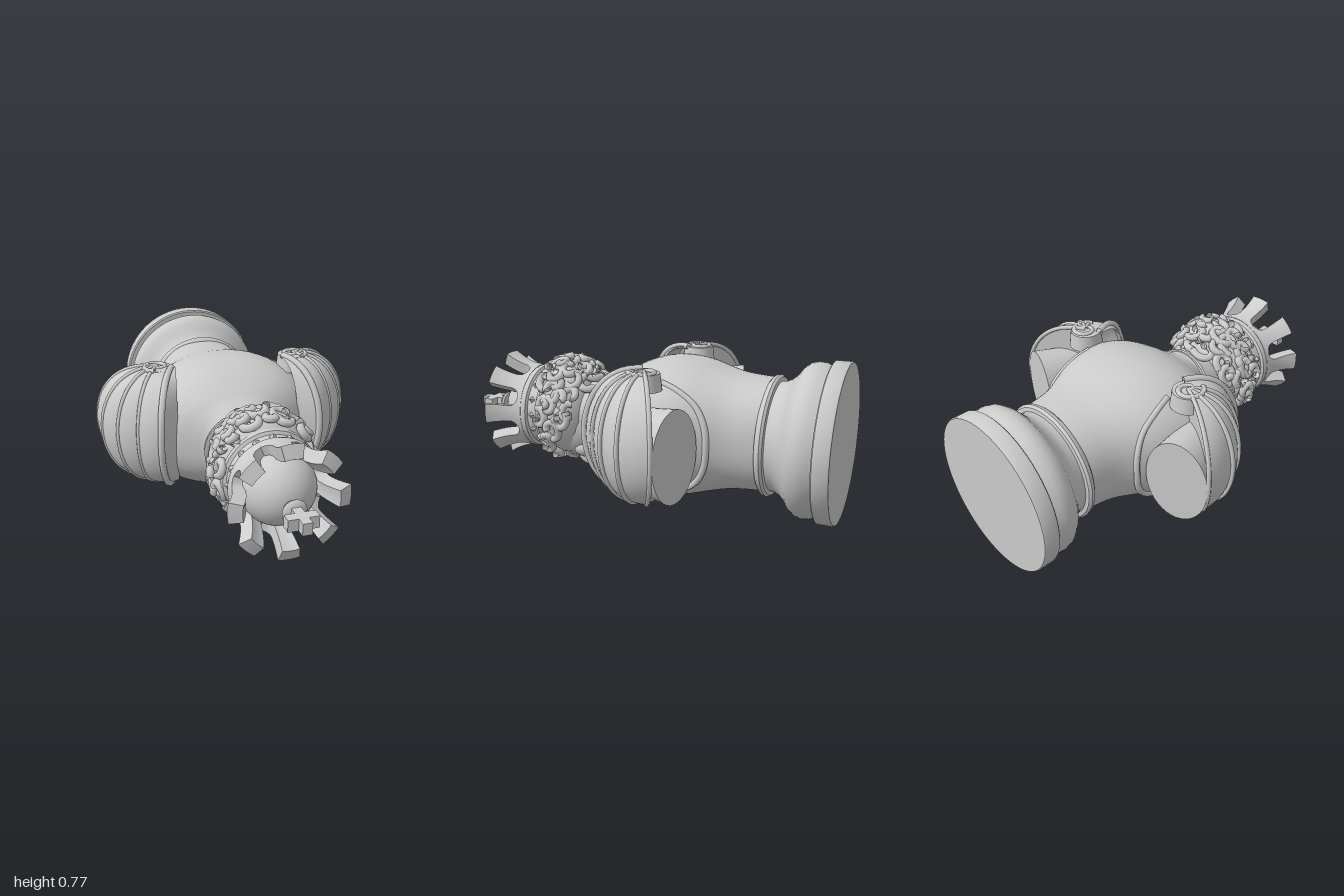
import * as THREE from 'three';
import { toCreasedNormals, mergeGeometries } from 'three/addons/utils/BufferGeometryUtils.js';

const grey = new THREE.MeshStandardMaterial({ color: 0xcccccc, side: THREE.DoubleSide });
const V = (x, y, z) => new THREE.Vector3(x, y, z);

function add(parent, name, geo, x = 0, y = 0, z = 0) {
  const mesh = new THREE.Mesh(geo, grey);
  mesh.name = name;
  mesh.position.set(x, y, z);
  parent.add(mesh);
  return mesh;
}

function ball(parent, name, x, y, z, rx, ry, rz) {
  const mesh = add(parent, name, new THREE.SphereGeometry(1, 28, 20), x, y, z);
  mesh.scale.set(rx, ry, rz);
  return mesh;
}

const tubeGeo = (points, r, segments = 24, closed = false) =>
  new THREE.TubeGeometry(new THREE.CatmullRomCurve3(points, closed), segments, r, 7, closed);

// Turned part from [height, radius] pairs
const turned = (pairs) => toCreasedNormals(
  new THREE.LatheGeometry(pairs.map(([y, r]) => new THREE.Vector2(r, y)), 64), 0.7);

// Body from [height, half width, half depth] rows, slightly squarer than an oval
const torsoRows = [[-0.65, 0.26, 0.27], [-0.5, 0.293, 0.28], [-0.4, 0.342, 0.3], [-0.3, 0.395, 0.325],
  [-0.2, 0.425, 0.337], [-0.1, 0.435, 0.33], [0, 0.41, 0.3], [0.08, 0.34, 0.255],
  [0.13, 0.26, 0.22], [0.17, 0.2, 0.2], [0.2, 0.18, 0.18]];
const torsoCurve = new THREE.CatmullRomCurve3(torsoRows.map(([y, a, b]) => V(a, y, b)));
const SQUARE = 2.3;

function torsoGeometry() {
  const rows = torsoCurve.getPoints(40);
  const geo = new THREE.LatheGeometry(rows.map((p) => new THREE.Vector2(p.x, p.y)), 64);
  const pos = geo.attributes.position;
  const bulge = (v) => Math.sign(v) * Math.abs(v) ** (2 / SQUARE);
  for (let i = 0; i < pos.count; i++) {
    const row = rows[i % rows.length];
    pos.setX(i, row.x * bulge(pos.getX(i) / row.x));
    pos.setZ(i, row.z * bulge(pos.getZ(i) / row.x));
  }
  return toCreasedNormals(geo, 0.8);
}

// Point on the side of the torso at height y and depth z
function torsoSide(y, z) {
  const i = torsoRows.findIndex((r) => r[0] >= y);
  const [p, q] = [torsoRows[i - 1], torsoRows[i]];
  const t = (y - p[0]) / (q[0] - p[0]);
  const a = p[1] + (q[1] - p[1]) * t, b = p[2] + (q[2] - p[2]) * t;
  return V(a * Math.max(0.05, 1 - Math.abs(z / b) ** SQUARE) ** (1 / SQUARE), y, z);
}

// Shoulder guard: overlapping plates fanned round a front-to-back axis
function buildShoulder() {
  const g = new THREE.Group();
  const px = 0.36, py = -0.14, pz = -0.035, half = 0.305, N = 24;
  const edges = [[0.41, 0.145], [0.505, 0.055], [0.59, -0.03], [0.65, -0.14], [0.65, -0.3]]
    .map(([x, y]) => [Math.atan2(y - py, x - px), Math.hypot(x - px, y - py)]);
  // Arc from pole to pole; lean moves its ends towards the chest
  const line = (ang, r, lean = 0) => Array.from({ length: N + 1 }, (_, i) => {
    const f = (i / N - 0.5) * Math.PI;
    const c = Math.max(0, Math.cos(f)) ** 0.82;
    return V(px + r * c * Math.cos(ang) - lean * (1 - c), py + r * c * Math.sin(ang) + lean * 0.5 * (1 - c),
      pz + half * Math.sin(f));
  });
  const chestLine = line(1.78, 0.23, 0.085);
  const rim = line(edges[0][0], edges[0][1], 0.065);
  const columns = [chestLine, rim];
  for (let k = 0; k < edges.length - 1; k++) {
    const [a0, r0] = edges[k], [a1, r1] = edges[k + 1];
    for (let s = 0; s <= 5; s++) {
      const t = s / 5;
      columns.push(line(a0 + (a1 - a0) * t, (r0 + (r1 - r0) * t) * (0.97 + 0.05 * t)));
    }
  }
  columns.push(line(edges[edges.length - 1][0], 0));
  const verts = [], index = [];
  columns.forEach((c, j) => c.forEach((p, i) => {
    verts.push(p.x, p.y, p.z);
    if (j && i) {
      const a = (j - 1) * (N + 1) + i - 1, b = a + N + 1;
      index.push(a, a + 1, b, b, a + 1, b + 1);
    }
  }));
  const geo = new THREE.BufferGeometry();
  geo.setAttribute('position', new THREE.Float32BufferAttribute(verts, 3));
  geo.setIndex(index);
  geo.computeVertexNormals();
  add(g, 'shoulderPlates', toCreasedNormals(geo, 0.5));
  add(g, 'flapRim', tubeGeo(rim, 0.017, 40));
  edges.slice(1).forEach(([a, r]) => add(g, 'plateRim', tubeGeo(line(a, r), 0.011, 40)));

  // Scrolls at both ends of the fan
  for (const s of [-1, 1]) {
    const z = pz + s * (half - 0.045);
    add(g, 'scroll', new THREE.CylinderGeometry(0.075, 0.085, 0.08, 28), px, py, z).rotation.x = s * Math.PI / 2;
    const spiral = Array.from({ length: 14 }, (_, i) => {
      const a = 1.2 - i * 0.55, r = 0.074 - i * 0.0045;
      return V(px + r * Math.cos(a), py + r * Math.sin(a), z + s * 0.04);
    });
    add(g, 'scrollSpiral', tubeGeo(spiral, 0.013, 50));
  }

  // Arm stump with a flat cut end
  const arm = add(g, 'armStump', new THREE.CylinderGeometry(0.13, 0.157, 0.3, 40), 0.457, -0.208, 0);
  arm.scale.z = 1.4;
  arm.rotation.z = 0.29;

  // Piping round the armhole
  const hole = [[-0.19, 0.25], [-0.28, 0.235], [-0.37, 0.185], [-0.42, 0.1], [-0.432, 0],
    [-0.42, -0.1], [-0.37, -0.185], [-0.28, -0.245], [-0.19, -0.275]];
  add(g, 'armholePiping', tubeGeo(hole.map(([y, z]) => torsoSide(y, z)), 0.016, 50));
  return g;
}

// Thick curly locks laid in rows over the head, leaving the face free
function locksGeometry() {
  let seed = 7;
  const rnd = () => (seed = (seed * 16807) % 2147483647) / 2147483647;
  const parts = [];
  [[0.3, 0.165], [0.35, 0.2], [0.4, 0.222], [0.45, 0.228], [0.495, 0.215]].forEach(([y0, r], row) => {
    for (let k = 0; k < 17; k++) {
      const a = (k + row * 0.5 + rnd() * 0.4) / 17 * Math.PI * 2, c = Math.cos(a);
      const hairline = c < 0 ? 0.345 + c * 0.06 : 0.345 + Math.min(0.13, c * 0.24);
      const y = y0 + (rnd() - 0.5) * 0.03;
      if (y < hairline) continue;
      const n = V(Math.sin(a), (y - 0.42) * 2, c).normalize();
      const u = V(c, 0, -Math.sin(a)), w = n.clone().cross(u);
      const center = V(Math.sin(a) * r, y, c * (r + (c < 0 ? 0.035 : 0.02)) - 0.01);
      const start = rnd() * 6.28, turn = rnd() < 0.5 ? -1 : 1, size = 0.85 + rnd() * 0.35;
      const pts = Array.from({ length: 10 }, (_, i) => {
        const t = start + turn * i * 0.58, q = size * (0.06 - i * 0.0052);
        return center.clone().addScaledVector(u, q * Math.cos(t)).addScaledVector(w, q * 0.8 * Math.sin(t))
          .addScaledVector(n, i * 0.003);
      });
      parts.push(tubeGeo(pts, 0.02, 22));
    }
  });
  return mergeGeometries(parts);
}

function buildHead() {
  const g = new THREE.Group();
  g.name = 'head';
  const neck = add(g, 'neck', new THREE.CylinderGeometry(0.16, 0.18, 0.26, 40), 0, 0.22, -0.025);
  neck.rotation.x = 0.12;
  ball(g, 'skull', 0, 0.38, 0.04, 0.175, 0.2, 0.2);
  ball(g, 'jaw', 0, 0.255, 0.11, 0.14, 0.125, 0.14);
  ball(g, 'chin', 0, 0.17, 0.2, 0.08, 0.05, 0.07);
  ball(g, 'nose', 0, 0.35, 0.25, 0.026, 0.06, 0.038).rotation.x = -0.4;
  ball(g, 'noseTip', 0, 0.322, 0.28, 0.032, 0.024, 0.028);
  ball(g, 'lips', 0, 0.235, 0.24, 0.05, 0.018, 0.025);
  for (const s of [-1, 1]) {
    ball(g, 'eye', s * 0.062, 0.38, 0.205, 0.03, 0.022, 0.026);
    ball(g, 'cheek', s * 0.08, 0.31, 0.16, 0.07, 0.075, 0.055);
    add(g, 'brow', tubeGeo([V(s * 0.015, 0.41, 0.24), V(s * 0.07, 0.425, 0.22), V(s * 0.12, 0.4, 0.17)], 0.02));
    add(g, 'moustache', tubeGeo([V(0, 0.275, 0.25), V(s * 0.05, 0.262, 0.24), V(s * 0.1, 0.22, 0.185)], 0.02));
    for (let k = 0; k < 4; k++) {
      add(g, 'beardLock', tubeGeo([V(s * (0.02 + k * 0.032), 0.23 + k * 0.012, 0.235 - k * 0.03),
        V(s * (0.018 + k * 0.03), 0.18 + k * 0.012, 0.255 - k * 0.035),
        V(s * (0.01 + k * 0.026), 0.14 + k * 0.014, 0.235 - k * 0.04)], 0.018, 12));
    }
  }
  ball(g, 'hairMass', 0, 0.43, -0.03, 0.23, 0.165, 0.255);
  add(g, 'hairLocks', locksGeometry());
  return g;
}

// One upright of the crown: a block with rounded roots, bent round the axis and flared
function crownPointGeometry() {
  const geo = new THREE.BoxGeometry(2, 1, 1, 6, 16, 1);
  const pos = geo.attributes.position, root = 0.046, foot = 0.025;
  for (let i = 0; i < pos.count; i++) {
    const v = 0.19 * (pos.getY(i) + 0.5) ** 1.5, depth = pos.getZ(i);
    const above = THREE.MathUtils.clamp(v - foot, 0, root);
    const cut = Math.sqrt(root ** 2 - (root - above) ** 2);
    const a = pos.getX(i) * (0.0865 - cut) / 0.22;
    const r = 0.19 + depth * 0.06 + 1.65 * v * v;
    pos.setXYZ(i, r * Math.sin(a), 0.63 + v - depth * v * 0.13, r * Math.cos(a));
  }
  return toCreasedNormals(geo, 0.6);
}

function buildCrown() {
  const g = new THREE.Group();
  g.name = 'crown';
  g.position.z = -0.012;
  add(g, 'crownBand', turned([[0.51, 0.18], [0.51, 0.215], [0.525, 0.225], [0.54, 0.22], [0.548, 0.205],
    [0.595, 0.205], [0.603, 0.218], [0.62, 0.222], [0.635, 0.216], [0.635, 0.16]]));
  const point = crownPointGeometry();
  for (let k = 0; k < 8; k++) {
    add(g, 'crownPoint', point).rotation.y = k * Math.PI / 4;
  }
  for (let k = 0; k < 16; k++) {
    const a = k * Math.PI / 8;
    add(g, 'bandStud', new THREE.OctahedronGeometry(0.018), 0.205 * Math.sin(a), 0.572, 0.205 * Math.cos(a)).rotation.y = a;
  }
  ball(g, 'crownDome', 0, 0.635, 0, 0.178, 0.185, 0.178);
  return g;
}

export function createModel() {
  const model = new THREE.Group();
  const king = new THREE.Group();
  king.name = 'kingPiece';
  king.rotation.x = Math.PI / 2;
  king.position.y = 0.385;
  model.add(king);

  // Turned foot
  add(king, 'foot', turned([[-1, 0], [-1, 0.38], [-0.994, 0.385], [-0.926, 0.385], [-0.92, 0.378], [-0.92, 0.352],
    [-0.905, 0.357], [-0.88, 0.369], [-0.85, 0.372], [-0.82, 0.366], [-0.795, 0.348], [-0.77, 0.315], [-0.74, 0.285],
    [-0.71, 0.269], [-0.685, 0.266], [-0.682, 0.285], [-0.67, 0.295], [-0.655, 0.293], [-0.643, 0.28], [-0.64, 0.25]]));
  add(king, 'torso', torsoGeometry(), 0, 0, -0.008);

  // Collar, low in front and high behind
  const collar = add(king, 'collar', turned([[-0.07, 0.215], [0.03, 0.19], [0.035, 0.205], [0.05, 0.208],
    [0.058, 0.195], [0.055, 0.15]]), 0, 0.135, -0.01);
  collar.rotation.x = 0.22;

  for (const s of [-1, 1]) {
    const shoulder = buildShoulder();
    shoulder.name = s > 0 ? 'leftShoulder' : 'rightShoulder';
    shoulder.scale.x = s;
    king.add(shoulder);
  }
  king.add(buildHead(), buildCrown());

  // Finial and cross
  add(king, 'finial', turned([[0.8, 0.045], [0.825, 0.03], [0.84, 0.03], [0.845, 0.052], [0.855, 0.057], [0.865, 0.05],
    [0.872, 0.025], [0.89, 0.022], [0.89, 0]]));
  const c = [[0.022, 0.87], [0.022, 0.91], [0.07, 0.91], [0.07, 0.958], [0.022, 0.958], [0.022, 1]];
  const cross = new THREE.Shape([...c, ...c.map(([x, y]) => [-x, y]).reverse()].map(([x, y]) => new THREE.Vector2(x, y)));
  add(king, 'cross', new THREE.ExtrudeGeometry(cross, { depth: 0.056, bevelEnabled: false }), 0, 0, -0.028);
  return model;
}
